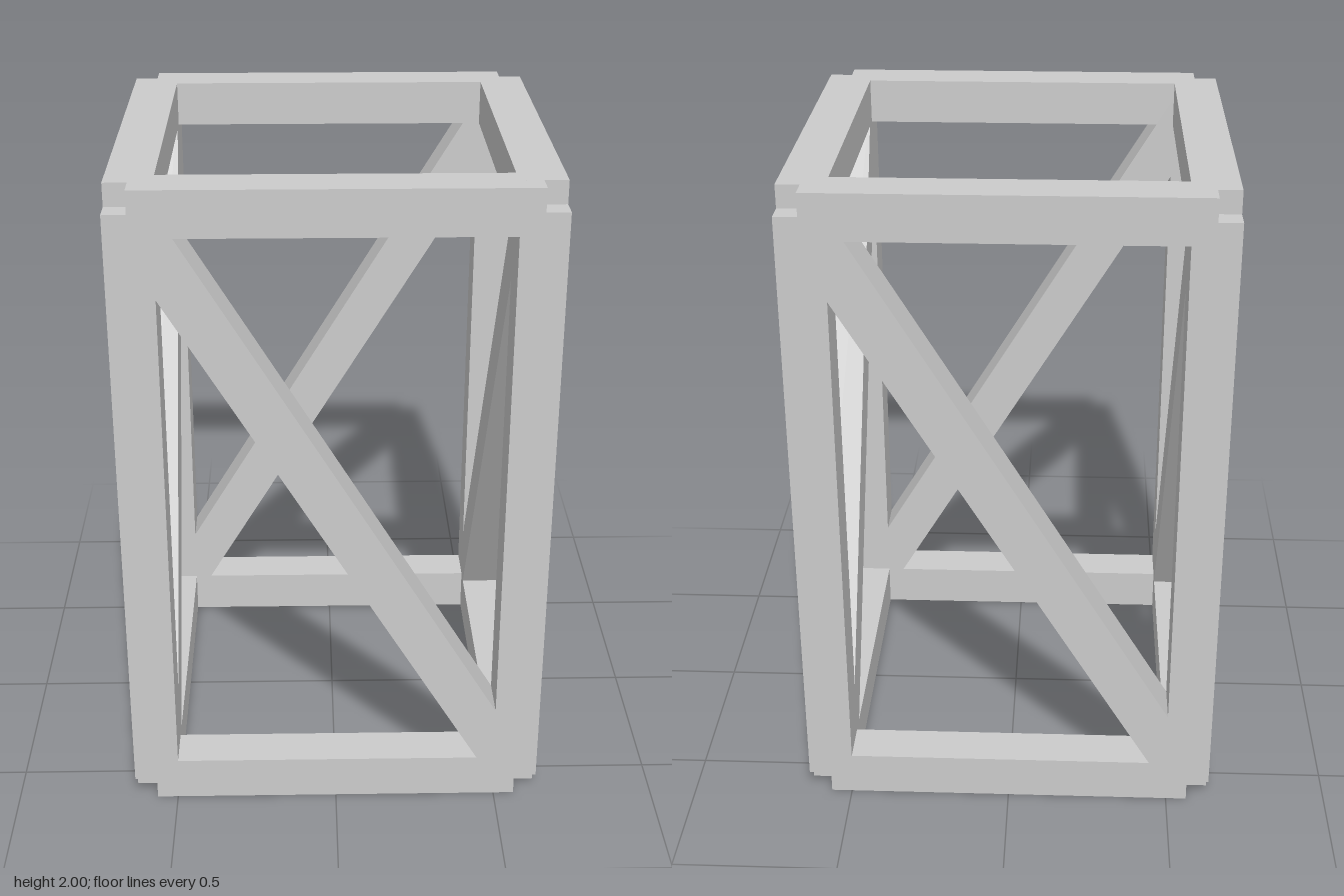
import * as THREE from 'three';

const W = 0.137;           // beam thickness
const R = 0.564;           // beam centre line distance from the middle
const Y0 = W / 2;          // lower ring centre line
const Y1 = 2 - W / 2;      // upper ring centre line

export function createModel() {
  const group = new THREE.Group();
  const material = new THREE.MeshStandardMaterial({ color: 0xcccccc, flatShading: true });

  const beam = (name, parent, w, h, d, x, y, z) => {
    const mesh = new THREE.Mesh(new THREE.BoxGeometry(w, h, d), material);
    mesh.name = name;
    mesh.position.set(x, y, z);
    parent.add(mesh);
    return mesh;
  };

  // Four identical sides; beams stop at the corner nodes, leaving small corner notches
  const rise = Y1 - Y0;
  ['front', 'left', 'back', 'right'].forEach((label, i) => {
    const side = new THREE.Group();
    side.name = label + 'Side';
    side.rotation.y = i * Math.PI / 2;
    group.add(side);

    beam('bottomRail', side, 2 * R, W, W, 0, Y0, R);
    beam('topRail', side, 2 * R, W, W, 0, Y1, R);
    beam('cornerPost', side, W, rise, W, R, 1, R);

    // Diagonal brace from upper left to lower right, seen from outside
    const brace = beam('diagonalBrace', side, W, Math.hypot(2 * R, rise), W, 0, 1, R);
    brace.rotation.z = Math.atan2(2 * R, rise);
  });

  return group;
}
